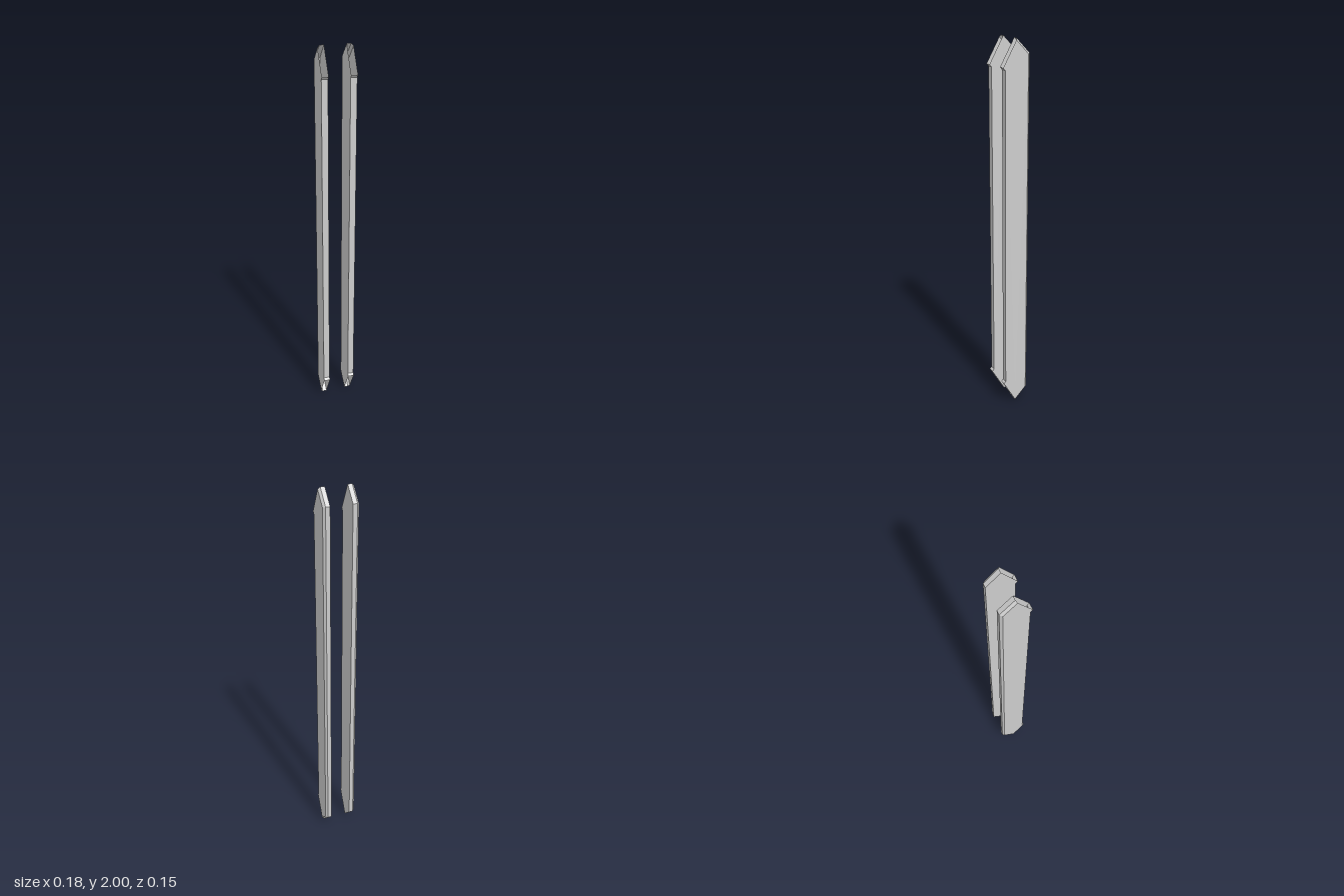
import * as THREE from 'three';

const grey = new THREE.MeshStandardMaterial({ color: 0xcccccc, side: THREE.DoubleSide });
grey.name = 'grey';

// Inner face, chamfer start and outer face positions across the bar
const X_IN = 0.055, X_BEVEL = 0.077, X_OUT = 0.088;

// Upper half profiles as [z, y]; the lower half mirrors them about y = 1
const mirrorY = (pts) => [...pts, ...pts.map(([z, y]) => [z, 2 - y]).reverse()];
const backEdge = mirrorY([[-0.003, 2], [-0.074, 1.928]]);
const bevelEdge = mirrorY([[0.0025, 1.99], [-0.063, 1.9235]]);
const frontEdge = mirrorY([[0.073, 1.866], [0.062, 1.854]]);

// Flat-faced ribbon joining profile a at xa to profile b at xb
function ribbon(name, a, xa, b, xb) {
  const pos = [];
  for (let i = 0; i < a.length - 1; i++) {
    const p = [xa, a[i][1], a[i][0]], q = [xb, b[i][1], b[i][0]];
    const r = [xa, a[i + 1][1], a[i + 1][0]], s = [xb, b[i + 1][1], b[i + 1][0]];
    pos.push(...p, ...q, ...r, ...q, ...s, ...r);
  }
  const g = new THREE.BufferGeometry();
  g.setAttribute('position', new THREE.Float32BufferAttribute(pos, 3));
  g.computeVertexNormals();
  const mesh = new THREE.Mesh(g, grey);
  mesh.name = name;
  return mesh;
}

// Flat side plate bounded by a back profile and the front profile
function plate(name, back, x, outward) {
  const outline = [...back, ...[...frontEdge].reverse()];
  const shape = new THREE.Shape(outline.map(([z, y]) => new THREE.Vector2(-z * outward, y)));
  const g = new THREE.ShapeGeometry(shape);
  g.rotateY(outward * Math.PI / 2);
  g.translate(x, 0, 0);
  const mesh = new THREE.Mesh(g, grey);
  mesh.name = name;
  return mesh;
}

// One pointed bar; the front slopes at both ends are left open
function makeBar(name) {
  const bar = new THREE.Group();
  bar.name = name;
  bar.add(
    plate('innerSide', backEdge, X_IN, -1),
    plate('outerSide', bevelEdge, X_OUT, 1),
    ribbon('backFace', backEdge, X_BEVEL, backEdge, X_IN),
    ribbon('backChamfer', bevelEdge, X_OUT, backEdge, X_BEVEL),
    ribbon('frontFaceWithLips', frontEdge, X_IN, frontEdge, X_OUT),
  );
  return bar;
}

export function createModel() {
  const model = new THREE.Group();
  model.name = 'pairOfPointedBars';
  const left = makeBar('leftBar');
  const right = makeBar('rightBar');
  right.scale.x = -1;
  model.add(left, right);
  return model;
}
